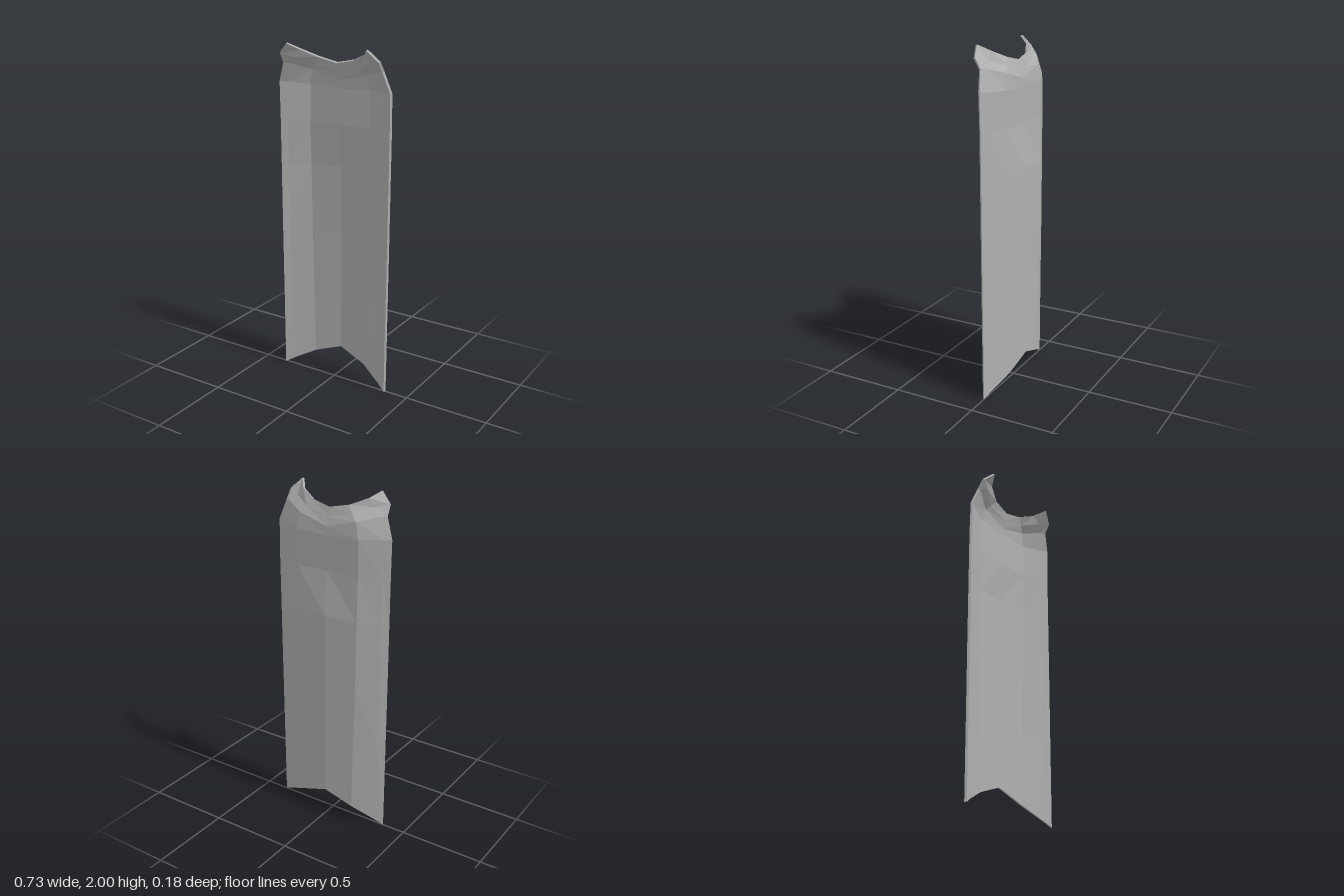
import * as THREE from 'three';

// Half rows from hem to collar: [x, y, z] at centre, shoulder blade, side and edge
const rows = [
  [[0, 0.165, -0.085], [0.175, 0.1, -0.068], [0.31, 0.03, -0.02], [0.36, 0, 0]],
  [[0, 0.53, -0.086], [0.185, 0.52, -0.07], [0.32, 0.51, -0.02], [0.362, 0.5, 0]],
  [[0, 0.91, -0.086], [0.195, 0.9, -0.071], [0.325, 0.9, -0.02], [0.364, 0.9, 0]],
  [[0, 1.3, -0.085], [0.2, 1.29, -0.071], [0.325, 1.29, -0.02], [0.365, 1.29, 0]],
  [[0, 1.55, -0.062], [0.2, 1.55, -0.062], [0.325, 1.56, -0.016], [0.366, 1.57, 0]],
  [[0, 1.75, -0.066], [0.2, 1.76, -0.066], [0.325, 1.765, -0.014], [0.366, 1.77, 0.004]],
  [[0, 1.8, -0.064], [0.18, 1.85, -0.058], [0.285, 1.88, 0], [0.325, 1.885, 0.02]],
  [[0, 1.85, -0.049], [0.147, 1.885, -0.04], [0.25, 1.92, 0.02], [0.321, 1.94, 0.055]],
  [[0, 1.9, -0.036], [0.115, 1.925, -0.025], [0.21, 1.965, 0.018], [0.257, 2, 0.078]],
];

const mirrorRow = (row) => [
  ...row.slice(1).reverse().map(([x, y, z]) => [-x, y, z]),
  ...row,
];

// Thin closed shell: outer and inner skins joined along every rim
function shell(outer, inner) {
  const pos = [];
  const quad = (a, b, c, d) => pos.push(...a, ...b, ...c, ...a, ...c, ...d);
  const m = outer.length - 1, n = outer[0].length - 1;
  for (let i = 0; i < m; i++) {
    for (let j = 0; j < n; j++) {
      quad(outer[i][j], outer[i + 1][j], outer[i + 1][j + 1], outer[i][j + 1]);
      quad(inner[i][j], inner[i][j + 1], inner[i + 1][j + 1], inner[i + 1][j]);
    }
    quad(outer[i][0], inner[i][0], inner[i + 1][0], outer[i + 1][0]);
    quad(outer[i][n], outer[i + 1][n], inner[i + 1][n], inner[i][n]);
  }
  for (let j = 0; j < n; j++) {
    quad(outer[0][j], outer[0][j + 1], inner[0][j + 1], inner[0][j]);
    quad(outer[m][j], inner[m][j], inner[m][j + 1], outer[m][j + 1]);
  }
  const g = new THREE.BufferGeometry();
  g.setAttribute('position', new THREE.Float32BufferAttribute(pos, 3));
  g.computeVertexNormals(); // unshared corners keep the facets flat
  return g;
}

export function createModel() {
  const group = new THREE.Group();
  group.name = 'cape';
  const cloth = new THREE.MeshStandardMaterial({ color: 0xb0b0b0 });
  cloth.name = 'grey cloth';

  const outer = rows.map(mirrorRow);
  // Lining sits just in front of the outer cloth, slightly narrower
  const inner = outer.map((row, i) =>
    row.map(([x, y, z]) => [x * 0.98, y - (i > 5 ? 0.006 : 0), z + 0.011]));

  const cape = new THREE.Mesh(shell(outer, inner), cloth);
  cape.name = 'capeCloth';
  group.add(cape);
  return group;
}
